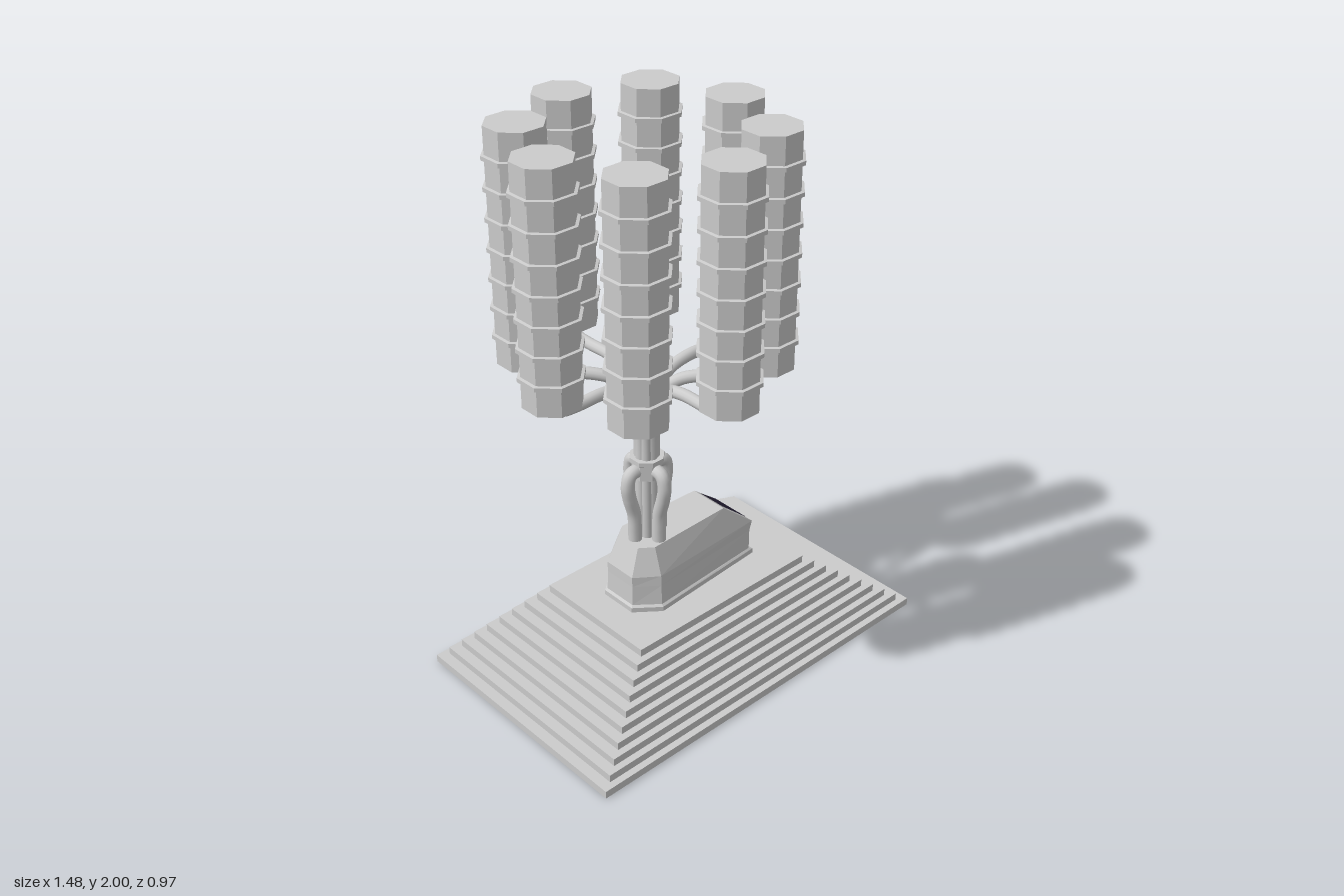
import * as THREE from 'three';

const flat = new THREE.MeshStandardMaterial({ color: 0xcccccc, flatShading: true });
const smooth = new THREE.MeshStandardMaterial({ color: 0xcccccc });
const dark = new THREE.MeshStandardMaterial({ color: 0x241f33, side: THREE.DoubleSide });

const TREE_X = -0.14;   // axis of the pipe tree
const ARM_REACH = 0.385;

function add(parent, name, geometry, material, x = 0, y = 0, z = 0) {
  const mesh = new THREE.Mesh(geometry, material);
  mesh.name = name;
  mesh.position.set(x, y, z);
  parent.add(mesh);
  return mesh;
}

// Six-cornered section: rear nose, shoulders and front edge at height y
function section(y, nose, noseZ, shoulder, shoulderZ, front, frontZ) {
  return [[nose, -noseZ], [shoulder, -shoulderZ], [front, -frontZ],
    [front, frontZ], [shoulder, shoulderZ], [nose, noseZ]].map(([x, z]) => [x, y, z]);
}

// Skin through a stack of sections, closed at the top and bottom
function loft(rings) {
  const out = [];
  const tri = (...pts) => pts.forEach((p) => out.push(...p));
  const n = rings[0].length;
  for (let r = 0; r < rings.length - 1; r++) {
    for (let i = 0; i < n; i++) {
      const j = (i + 1) % n;
      const [lo, hi] = [rings[r], rings[r + 1]];
      tri(lo[j], lo[i], hi[i]);
      tri(lo[j], hi[i], hi[j]);
    }
  }
  const [bottom, top] = [rings[0], rings[rings.length - 1]];
  for (let i = 1; i < n - 1; i++) {
    tri(top[0], top[i + 1], top[i]);
    tri(bottom[0], bottom[i], bottom[i + 1]);
  }
  const g = new THREE.BufferGeometry();
  g.setAttribute('position', new THREE.Float32BufferAttribute(out, 3));
  g.computeVertexNormals();
  return g;
}

// Eight-sided turned shape; radii are measured to the flats
function octagonLathe(profile) {
  const k = 1 / Math.cos(Math.PI / 8);
  const pts = profile.map(([r, y]) => new THREE.Vector2(r * k, y));
  return new THREE.LatheGeometry(pts, 8, Math.PI / 8);
}

// Round pipe along [distance from axis, height] points
function pipe(points, radius, segments) {
  const curve = new THREE.CatmullRomCurve3(points.map(([r, y]) => new THREE.Vector3(r, y, 0)));
  return new THREE.TubeGeometry(curve, segments, radius, 12);
}

function createBase() {
  const base = new THREE.Group();
  base.name = 'steppedBase';
  const steps = 10, h = 0.028;
  for (let i = 0; i < steps; i++) {
    const t = i / (steps - 1);
    const w = 2 * THREE.MathUtils.lerp(0.74, 0.39, t);
    const d = 2 * THREE.MathUtils.lerp(0.462, 0.242, t);
    add(base, 'step', new THREE.BoxGeometry(w, h, d), flat, 0, (i + 0.5) * h, 0);
  }
  return base;
}

function createConsole() {
  const unit = new THREE.Group();
  unit.name = 'console';
  add(unit, 'consoleBody', loft([
    section(0.28, -0.28, 0.07, -0.195, 0.138, 0.272, 0.105),
    section(0.298, -0.28, 0.07, -0.195, 0.138, 0.272, 0.105),
    section(0.305, -0.272, 0.065, -0.193, 0.13, 0.257, 0.1),
    section(0.38, -0.27, 0.064, -0.191, 0.125, 0.26, 0.098),
    section(0.418, -0.27, 0.064, -0.19, 0.123, 0.27, 0.1),
    section(0.516, -0.23, 0.05, -0.183, 0.085, 0.15, 0.075),
  ]), flat);

  // Dark trapezoid screen lying on the sloping front
  const shape = new THREE.Shape([[-0.08, 0.012], [0.08, 0.012], [0.056, 0.14], [-0.056, 0.14]]
    .map(([x, y]) => new THREE.Vector2(x, y)));
  const screen = add(unit, 'screen', new THREE.ShapeGeometry(shape), dark, 0.2715, 0.4195, 0);
  screen.rotation.set(0, Math.PI / 2, 0);
  screen.rotateX(-Math.atan2(0.12, 0.098));

  // Small slots and a button under the screen
  for (let i = 0; i < 4; i++) {
    add(unit, 'slot', new THREE.BoxGeometry(0.004, 0.005, 0.016), dark, 0.26, 0.37, 0.034 - i * 0.024);
  }
  add(unit, 'button', new THREE.BoxGeometry(0.006, 0.025, 0.012), flat, 0.26, 0.37, 0.072);
  return unit;
}

function createTree() {
  const tree = new THREE.Group();
  tree.name = 'pipeTree';
  tree.position.x = TREE_X;

  // Four bulging root pipes
  const root = pipe([[0.058, 0.49], [0.058, 0.56], [0.061, 0.62], [0.08, 0.69],
    [0.087, 0.74], [0.077, 0.778], [0.055, 0.787], [0.02, 0.775]], 0.024, 40);
  for (let i = 0; i < 4; i++) add(tree, 'rootPipe', root, smooth).rotation.y = i * Math.PI / 2;

  // Collar tying the pipes together
  add(tree, 'collar', octagonLathe([[0, 0.755], [0.05, 0.755], [0.05, 0.81],
    [0.057, 0.815], [0.057, 0.832], [0, 0.832]]), flat);

  // Eight arms, each carrying a ribbed octagonal canister
  const arm = pipe([[0.024, 0.52], [0.024, 0.75], [0.024, 0.93], [0.032, 1.01], [0.058, 1.08],
    [0.105, 1.122], [0.18, 1.14], [0.29, 1.14], [0.35, 1.147], [0.379, 1.175],
    [ARM_REACH, 1.21], [ARM_REACH, 1.24]], 0.021, 64);

  const bottom = 1.19, top = 2, body = 0.092, rib = 0.102, ribs = 7;
  const profile = [[0, bottom + 0.035], [0.072, bottom + 0.035], [0.072, bottom], [body, bottom]];
  for (let i = 1; i <= ribs; i++) {
    const y = bottom + (top - bottom) * i / (ribs + 1);
    profile.push([body, y - 0.009], [rib, y - 0.007], [rib, y + 0.007], [body, y + 0.009]);
  }
  profile.push([body, top], [0, top]);
  const canister = octagonLathe(profile);

  for (let i = 0; i < 8; i++) {
    const branch = new THREE.Group();
    branch.name = 'branch';
    branch.rotation.y = i * Math.PI / 4;
    add(branch, 'arm', arm, smooth);
    add(branch, 'canister', canister, flat, ARM_REACH, 0, 0);
    tree.add(branch);
  }
  return tree;
}

export function createModel() {
  const model = new THREE.Group();
  model.name = 'canisterTreeMonument';
  model.add(createBase(), createConsole(), createTree());
  return model;
}
